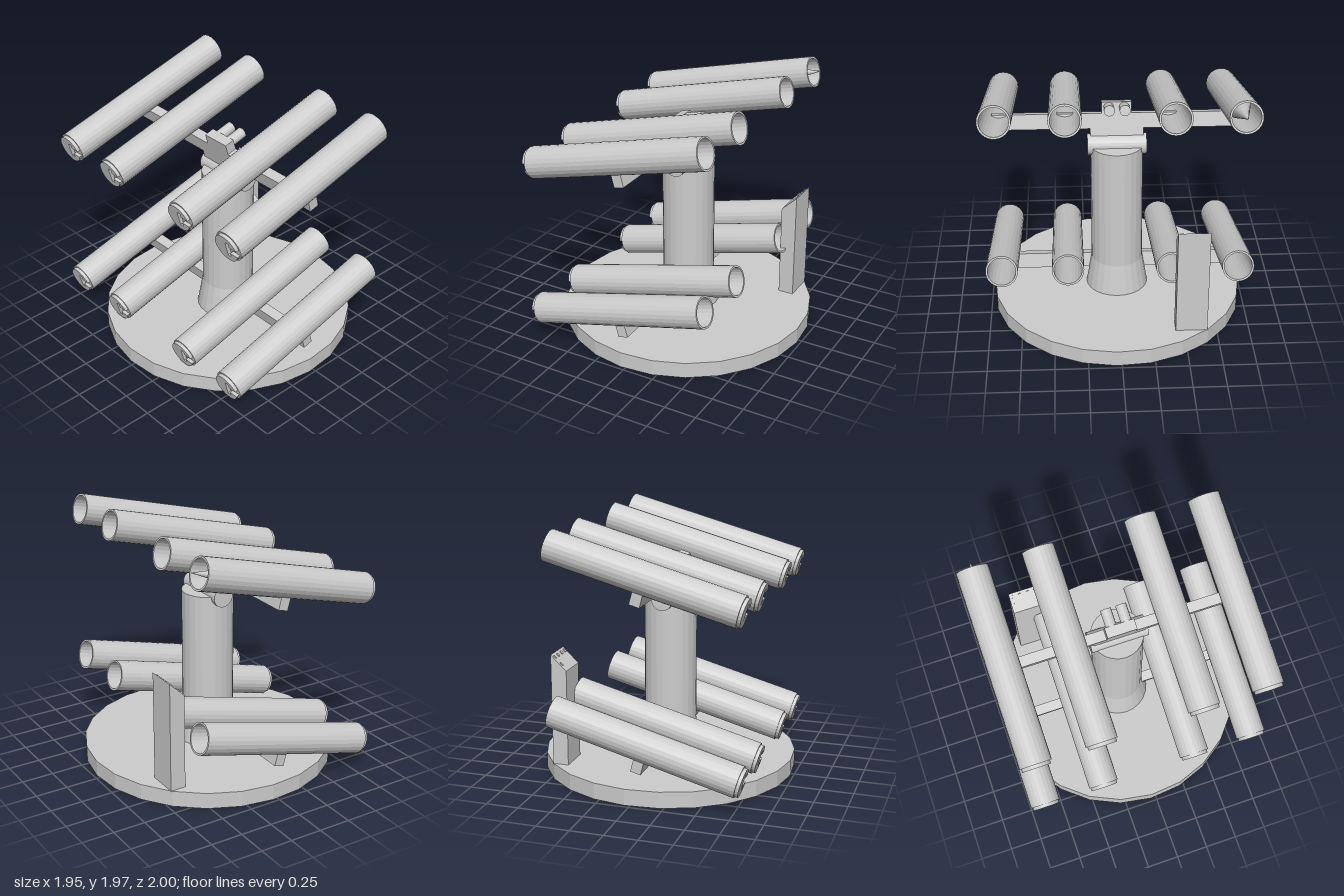
import * as THREE from 'three';

const TILT = Math.PI / 12;
const SIDES = 24;

export function createModel() {
  const model = new THREE.Group();
  model.name = 'launcher';
  const grey = new THREE.MeshStandardMaterial({ color: 0xcccccc, flatShading: true });
  grey.name = 'light grey';

  const add = (parent, name, geometry, x = 0, y = 0, z = 0) => {
    const mesh = new THREE.Mesh(geometry, grey);
    mesh.name = name;
    mesh.position.set(x, y, z);
    parent.add(mesh);
    return mesh;
  };
  const lathe = (pts, sides = SIDES) =>
    new THREE.LatheGeometry(pts.map(([r, y]) => new THREE.Vector2(r, y)), sides);
  // cylinder lying along x
  const rod = (r, length, sides) => new THREE.CylinderGeometry(r, r, length, sides).rotateZ(-Math.PI / 2);

  // round base plate
  const base = add(model, 'base', new THREE.CylinderGeometry(0.975, 0.975, 0.125, SIDES), 0, 0.0625, 0);
  base.rotation.y = -0.04;

  // column with flared foot
  add(model, 'column', lathe([[0.243, 0.12], [0.2, 0.37], [0.2, 1.35], [0, 1.35]]));

  // pivot across the column top
  add(model, 'pivot', new THREE.CylinderGeometry(0.081, 0.081, 0.447, SIDES).rotateX(Math.PI / 2), 0, 1.35, 0);

  // hollow tube, closed at its rear
  const tubeGeometry = lathe([
    [0, -0.73], [0.12, -0.73], [0.12, 0.73], [0.105, 0.73], [0.105, -0.71], [0, -0.71],
  ]).rotateZ(-Math.PI / 2);

  // rear cap with a T-shaped slot open to one side
  const capShape = new THREE.Shape();
  capShape.absarc(0, 0, 0.108, 0.25, Math.PI * 2 - 0.25, false);
  [[0.035, -0.027], [0.035, -0.06], [0.005, -0.06], [0.005, 0.06], [0.035, 0.06], [0.035, 0.027]]
    .forEach(([x, y]) => capShape.lineTo(x, y));
  capShape.closePath();
  const capGeometry = new THREE.ExtrudeGeometry(capShape, { depth: 0.026, bevelEnabled: false, curveSegments: 12 })
    .rotateY(-Math.PI / 2);

  // two tilted racks of four tubes on a crossbeam
  const racks = [['lowerRack', 0.435], ['upperRack', 1.665]].map(([name, y]) => {
    const rack = new THREE.Group();
    rack.name = name;
    rack.position.set(-0.085, y, 0);
    rack.rotation.z = TILT;
    model.add(rack);
    add(rack, 'crossbeam', new THREE.BoxGeometry(0.08, 0.116, 1.876), 0, -0.141, 0);
    for (const z of [-0.88, -0.388, 0.388, 0.88]) {
      add(rack, 'tube', tubeGeometry, 0, 0, z);
      add(rack, 'tubeCap', capGeometry, -0.73, 0, z);
    }
    return rack;
  });

  // mounting plate and twin sight on the upper rack
  const upper = racks[1];
  add(upper, 'mountingPlate', new THREE.BoxGeometry(0.08, 0.243, 0.4), 0, -0.2045, 0);
  add(upper, 'sightBox', new THREE.BoxGeometry(0.08, 0.09, 0.226), 0, -0.043, 0);
  for (const z of [-0.058, 0.058]) add(upper, 'sightLens', rod(0.041, 0.14, 16), 0.1, -0.042, z);

  // pointed projectile inside one tube
  add(upper, 'projectile', lathe([[0, -0.7], [0.09, -0.7], [0.09, 0.3], [0, 0.8]])
    .rotateZ(-Math.PI / 2), 0, 0, -0.88);

  // control console with a sloping top
  const side = new THREE.Shape([[0.603, 0.12], [0.725, 0.12], [0.725, 0.982], [0.603, 0.865]]
    .map(([x, y]) => new THREE.Vector2(x, y)));
  add(model, 'console', new THREE.ExtrudeGeometry(side, { depth: 0.24, bevelEnabled: false }), 0, 0, -0.655);

  // buttons and switches on the console
  const panel = new THREE.Group();
  panel.name = 'controlPanel';
  panel.position.set(0.664, 0.9235, -0.535);
  panel.rotation.z = Math.atan2(0.117, 0.122);
  model.add(panel);
  for (const z of [-0.035, 0.03, 0.09])
    add(panel, 'button', new THREE.CylinderGeometry(0.014, 0.014, 0.008, 12), 0.052, 0.003, z);
  for (const x of [-0.02, 0.052])
    add(panel, 'switch', new THREE.BoxGeometry(0.03, 0.008, 0.008), x, 0.003, -0.095);

  return model;
}
